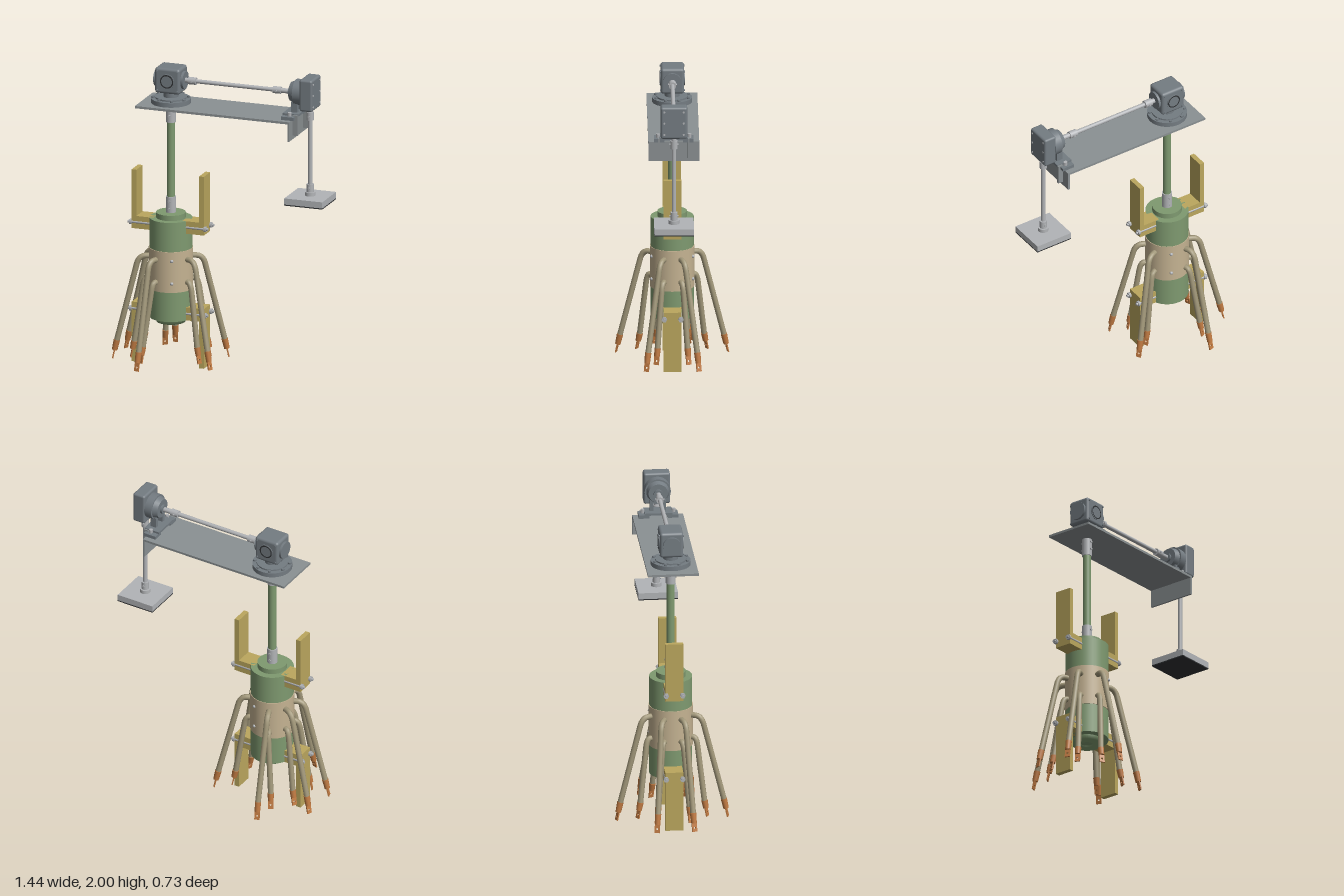
import * as THREE from 'three';
import { RoundedBoxGeometry } from 'three/addons/geometries/RoundedBoxGeometry.js';

const mat = (name, color, side = THREE.FrontSide) => {
  const m = new THREE.MeshStandardMaterial({ color, side });
  m.name = name;
  return m;
};

export function createModel() {
  const M = {
    plate: mat('plate grey', 0x8b9193),
    gear: mat('gearbox grey', 0x747c82),
    steel: mat('light steel', 0xb2b4b7),
    green: mat('housing green', 0x7f9a70),
    tan: mat('terminal band tan', 0xc5b392),
    yellow: mat('bracket yellow', 0xbba75e),
    cable: mat('cable khaki', 0xa2987a),
    copper: mat('copper', 0xc07a42),
    dark: mat('rubber black', 0x303234),
  };
  const root = new THREE.Group();
  root.name = 'drumDrive';
  const AX = -0.357; // drum axis
  const DX = 0.593;  // drop shaft axis
  const SY = 1.892;  // cross shaft height

  const add = (name, geo, m, parent = root) => {
    const mesh = new THREE.Mesh(geo, m);
    mesh.name = name;
    parent.add(mesh);
    return mesh;
  };
  // box given by its min and max on each axis
  const box = (name, m, x0, x1, y0, y1, z0, z1, r = 0) => {
    const s = [x1 - x0, y1 - y0, z1 - z0];
    const g = r ? new RoundedBoxGeometry(...s, 3, r) : new THREE.BoxGeometry(...s);
    return add(name, g.translate((x0 + x1) / 2, (y0 + y1) / 2, (z0 + z1) / 2), m);
  };
  const cylY = (name, m, x, z, y0, y1, r, r2 = r, n = 40) =>
    add(name, new THREE.CylinderGeometry(r2, r, y1 - y0, n).translate(x, (y0 + y1) / 2, z), m);
  const cylX = (name, m, x0, x1, y, z, r, r2 = r, n = 32) =>
    add(name, new THREE.CylinderGeometry(r2, r, x1 - x0, n).rotateZ(-Math.PI / 2)
      .translate((x0 + x1) / 2, y, z), m);
  const cylZ = (name, m, x, y, z0, z1, r, n = 32) =>
    add(name, new THREE.CylinderGeometry(r, r, z1 - z0, n).rotateX(Math.PI / 2)
      .translate(x, y, (z0 + z1) / 2), m);

  // Drum
  cylY('upperHousing', M.green, AX, 0, 0.775, 0.97, 0.138);
  cylY('topCap', M.green, AX, 0, 0.97, 1.005, 0.095);
  cylY('terminalBand', M.tan, AX, 0, 0.505, 0.775, 0.142);
  cylY('lowerHousing', M.green, AX, 0, 0.31, 0.505, 0.138);
  const ring = [[0.04, 0.32], [0.04, 0.278], [0.093, 0.278], [0.093, 0.32]];
  add('bottomCap', new THREE.LatheGeometry(ring.map(p => new THREE.Vector2(...p)), 40)
    .translate(AX, 0, 0), M.green);
  cylY('bottomShaftEnd', M.green, AX, 0, 0.29, 0.32, 0.041);

  // Upright shaft with couplings
  cylY('lowerCoupling', M.steel, AX, 0, 1.005, 1.11, 0.033);
  cylY('uprightShaft', M.green, AX, 0, 1.1, 1.62, 0.026);
  cylY('upperCoupling', M.steel, AX, 0, 1.605, 1.725, 0.032);
  for (const y of [1.03, 1.08, 1.65, 1.7]) cylZ('couplingScrew', M.steel, AX, y, -0.038, 0.038, 0.008, 12);

  // Mounting brackets, two above and two below
  for (const s of [-1, 1]) {
    const span = (a, b) => [AX + s * a, AX + s * b].sort((p, q) => p - q);
    for (const [name, bar0, bar1, arm0, arm1] of [
      ['upperBracket', 0.887, 1.278, 0.887, 0.97], ['lowerBracket', 0, 0.397, 0.31, 0.397]]) {
      box(name + 'Bar', M.yellow, ...span(0.214, 0.246), bar0, bar1, -0.058, 0.058);
      box(name + 'Arm', M.yellow, ...span(0.1, 0.214), arm0, arm1, -0.058, 0.058);
      const y = (arm0 + arm1) / 2;
      for (const z of [-0.053, 0.053]) {
        cylX('bracketBolt', M.steel, ...span(0.1, 0.273), y, z, 0.009, 0.009, 16);
        cylX('bracketNut', M.steel, ...span(0.246, 0.262), y, z, 0.018, 0.018, 6);
      }
    }
  }

  // Cables: [exit angle, angle at the lug] in degrees, mirrored front to back
  const rows = [
    { y: 0.715, corner: 0.205, end: 0.345, tip: 0.372, tipY: 0.03, angles: [[22.5, 27], [112.5, 106], [157.5, 161]] },
    { y: 0.565, corner: 0.172, end: 0.235, tip: 0.257, tipY: 0.045, angles: [[22.5, 24], [112.5, 119], [157.5, 155]] },
  ];
  const polar = (deg, r, y) => {
    const a = deg * Math.PI / 180;
    return new THREE.Vector3(AX + r * Math.cos(a), y, r * Math.sin(a));
  };
  const lugShape = new THREE.Shape();
  lugShape.moveTo(-0.017, 0).lineTo(0.017, 0).lineTo(0.017, 0.07).lineTo(-0.017, 0.07).closePath();
  lugShape.holes.push(new THREE.Path().absarc(0, 0.025, 0.007, 0, Math.PI * 2, true));
  const lugGeo = new THREE.ExtrudeGeometry(lugShape, { depth: 0.008, bevelEnabled: false, curveSegments: 8 })
    .translate(0, 0, -0.004);
  for (const row of rows) for (const side of [-1, 1]) {
    for (const [a0, a1] of row.angles) {
      const p0 = polar(side * a0, 0.13, row.y);
      const corner = polar(side * a0, row.corner, row.y);
      const end = polar(side * a1, row.end, 0.15);
      const tip = polar(side * a1, row.tip, row.tipY);
      const before = p0.clone().lerp(corner, 0.45);
      const down = end.clone().sub(corner).normalize();
      const after = corner.clone().addScaledVector(down, 0.06);
      const path = new THREE.CurvePath();
      path.add(new THREE.LineCurve3(p0, before));
      path.add(new THREE.QuadraticBezierCurve3(before, corner, after));
      path.add(new THREE.LineCurve3(after, end));
      add('cable', new THREE.TubeGeometry(path, 40, 0.0185, 10), M.cable);
      // crimp sleeve and flat lug
      const lug = new THREE.Group();
      lug.name = 'cableLug';
      const up = end.clone().sub(tip).normalize();
      const out = polar(side * a1, 1, 0).sub(new THREE.Vector3(AX, 0, 0));
      const right = up.clone().cross(out).normalize();
      lug.quaternion.setFromRotationMatrix(new THREE.Matrix4().makeBasis(right, up, right.clone().cross(up)));
      lug.position.copy(tip);
      root.add(lug);
      const len = end.distanceTo(tip);
      add('crimpSleeve', new THREE.CylinderGeometry(0.021, 0.018, len - 0.055, 12)
        .translate(0, (len + 0.055) / 2, 0), M.copper, lug);
      add('lugTongue', lugGeo, M.copper, lug);
    }
    // blanking screws
    for (const sgn of [67.5]) {
      const s = add('bandScrew', new THREE.SphereGeometry(0.011, 12, 8), M.steel);
      s.position.copy(polar(side * sgn, 0.142, row.y));
    }
  }

  // Top plate with its end skirt and ribs
  box('topPlate', M.plate, -0.542, 0.51, 1.72, 1.735, -0.163, 0.163);
  box('endSkirt', M.plate, 0.498, 0.51, 1.605, 1.72, -0.163, 0.163);
  for (const z of [-0.095, 0.095]) box('skirtRib', M.plate, 0.51, 0.545, 1.63, 1.765, z - 0.006, z + 0.006);

  // Main gearbox on its round flange
  cylY('gearboxFlange', M.gear, AX, 0, 1.735, 1.765, 0.128);
  cylY('gearboxFlangeStep', M.gear, AX, 0, 1.765, 1.775, 0.1);
  cylY('gearboxNeck', M.gear, AX, 0, 1.77, 1.82, 0.048);
  for (let i = 0; i < 8; i++) {
    const a = (i + 0.5) * Math.PI / 4;
    cylY('flangeBolt', M.gear, AX + 0.113 * Math.cos(a), 0.113 * Math.sin(a), 1.76, 1.776, 0.01, 0.01, 6);
  }
  box('mainGearbox', M.gear, -0.442, -0.272, 1.808, 1.977, -0.076, 0.074, 0.018);
  cylX('gearboxSideCover', M.gear, -0.457, -0.257, SY, 0, 0.058);
  cylZ('gearboxFrontCover', M.gear, AX, SY, -0.08, 0.079, 0.05);
  for (const [z, f] of [[0.08, 1], [-0.081, -1]]) {
    const g = new THREE.RingGeometry(0.037, 0.045, 32);
    if (f < 0) g.rotateY(Math.PI);
    add('coverSeal', g.translate(AX, SY, z), M.dark);
  }
  for (const x of [-0.424, -0.29]) for (const y of [1.83, 1.955])
    cylZ('coverBolt', M.gear, x, y, -0.081, 0.079, 0.007, 8);

  // Cross shaft
  cylX('crossStubNear', M.steel, -0.265, -0.2, SY, 0, 0.016);
  cylX('crossCollarNear', M.steel, -0.235, -0.183, SY, 0, 0.024);
  cylX('crossShaft', M.steel, -0.2, 0.36, SY, 0, 0.0135);
  cylX('crossCollarFar', M.steel, 0.342, 0.395, SY, 0, 0.023);
  cylX('crossStubFar', M.steel, 0.39, 0.47, SY, 0, 0.016);
  for (const x of [-0.209, 0.368]) cylZ('collarScrew', M.steel, x, SY, -0.029, 0.029, 0.007, 10);

  // End gearbox
  box('endGearbox', M.gear, 0.548, 0.635, 1.79, 2, -0.085, 0.085, 0.014);
  cylX('endGearboxFlange', M.gear, 0.498, 0.55, SY + 0.002, 0, 0.084);
  cylX('endGearboxHub', M.gear, 0.465, 0.498, SY + 0.002, 0, 0.062, 0.074);
  cylX('endGearboxNose', M.gear, 0.45, 0.466, SY, 0, 0.03);
  for (const z of [-0.062, 0.062]) for (const y of [1.82, 1.895, 1.97])
    cylX('endCoverBolt', M.steel, 0.63, 0.638, y, z, 0.007, 0.007, 8);

  // End gearbox mount
  box('mountFoot', M.gear, 0.437, 0.545, 1.755, 1.77, -0.09, 0.09);
  for (const s of [-1, 1]) {
    const [z0, z1] = s > 0 ? [0.06, 0.127] : [-0.127, -0.06];
    box('mountPad', M.gear, 0.44, 0.526, 1.735, 1.757, z0, z1);
    cylY('mountBolt', M.steel, 0.49, s * 0.1, 1.75, 1.782, 0.013, 0.013, 6);
    box('mountPost', M.gear, 0.48, 0.522, 1.765, 1.84, s * 0.04 - 0.012, s * 0.04 + 0.012);
  }

  // Drop shaft and foot pad
  cylY('dropStub', M.steel, DX, 0, 1.74, 1.8, 0.016);
  cylY('dropCollar', M.steel, DX, 0, 1.715, 1.768, 0.023);
  cylY('dropShaft', M.steel, DX, 0, 1.23, 1.73, 0.0135);
  cylY('footCollar', M.steel, DX, 0, 1.235, 1.29, 0.023);
  cylY('footFlange', M.steel, DX, 0, 1.212, 1.238, 0.034);
  cylZ('dropScrew', M.steel, DX, 1.742, -0.028, 0.028, 0.007, 10);
  cylZ('footScrew', M.steel, DX, 1.264, -0.028, 0.028, 0.007, 10);
  box('footPad', M.steel, 0.463, 0.722, 1.173, 1.214, -0.127, 0.127);
  box('footPadSole', M.dark, 0.463, 0.722, 1.166, 1.173, -0.127, 0.127);

  return root;
}
